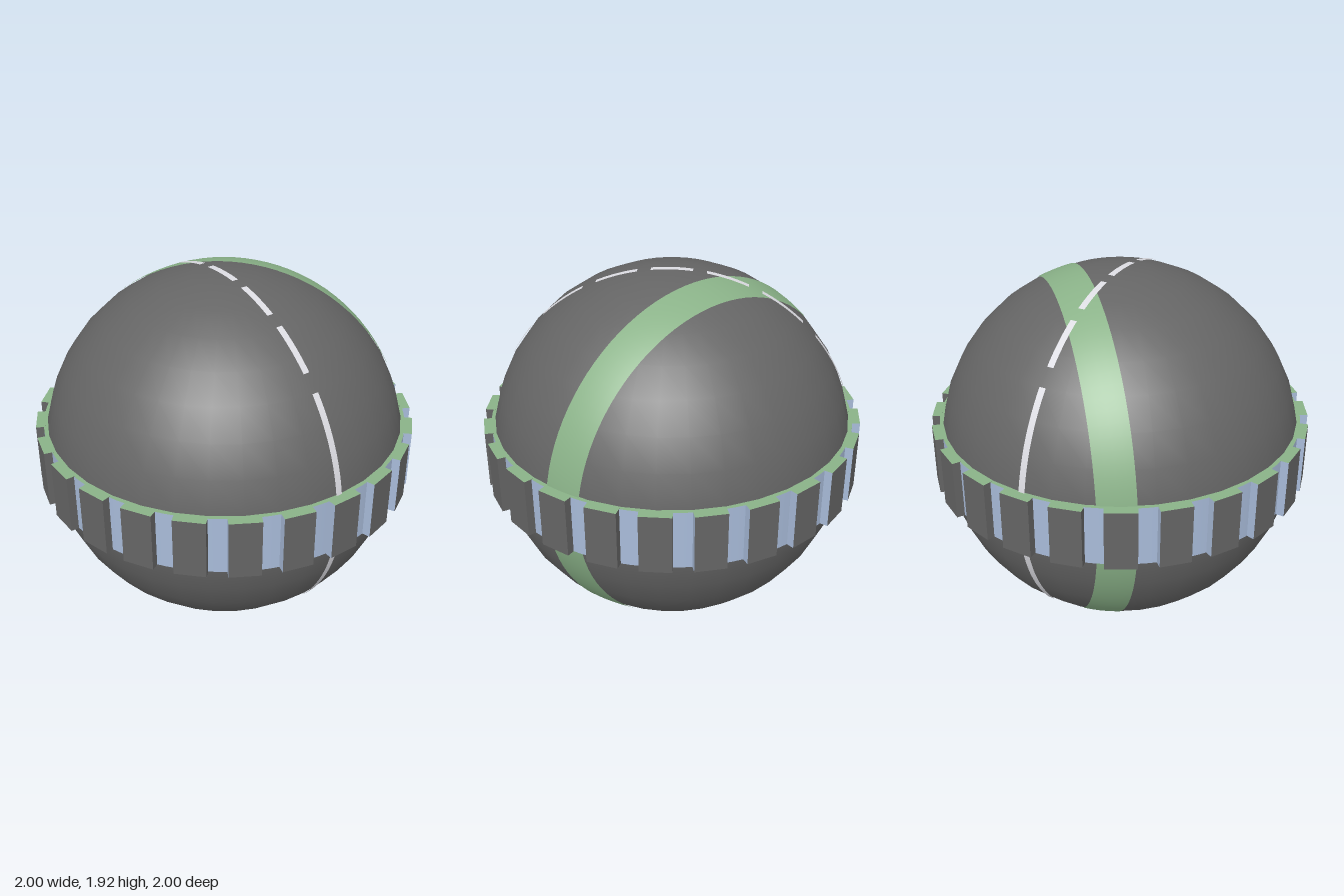
import * as THREE from 'three';

const CENTER_Y = 0.962;
const RADIUS = 0.956;
const RING_HEIGHT = 0.316;
const TEETH = 24;

function material(name, color) {
  const m = new THREE.MeshStandardMaterial({ color });
  m.name = name;
  return m;
}

export function createModel() {
  const gray = material('dark gray', 0x656565);
  const green = material('soft green', 0x8ab288);
  const blue = material('pale blue', 0xa8bbd9);
  const white = material('off white', 0xdcdce2);

  const model = new THREE.Group();
  model.name = 'beltedSphere';
  const add = (parent, name, geometry, mat) => {
    const mesh = new THREE.Mesh(geometry, mat);
    mesh.name = name;
    parent.add(mesh);
    return mesh;
  };

  const ball = new THREE.Group();
  ball.name = 'ball';
  ball.position.y = CENTER_Y;
  model.add(ball);

  // Main sphere
  add(ball, 'sphere', new THREE.SphereGeometry(RADIUS, 36, 18), gray);

  // Green stripe: a zone of the sphere cut by two upright diagonal planes
  const stripeR = RADIUS + 0.0025;
  const start = Math.acos(-0.17 / stripeR);
  const end = Math.acos(-0.354 / stripeR);
  const zone = new THREE.SphereGeometry(stripeR, 96, 4, 0, Math.PI * 2, start, end - start);
  const stripe = add(ball, 'greenStripe', zone, green);
  stripe.quaternion.setFromUnitVectors(
    new THREE.Vector3(0, 1, 0), new THREE.Vector3(1, 0, 1).normalize());

  // Dashed line over the top and bottom, dashes evenly spaced along x
  const dashes = new THREE.Group();
  dashes.name = 'dashedLine';
  ball.add(dashes);
  const dashR = RADIUS + 0.005;
  const angleAt = (x) => Math.asin(THREE.MathUtils.clamp(x / dashR, -1, 1));
  for (let i = -3; i <= 3; i++) {
    const from = angleAt(i * 0.281 - 0.106);
    const to = angleAt(i * 0.281 + 0.106);
    for (const side of [0, 1]) {
      // Cylinder angle 0 becomes straight down after the turn about x
      const first = side ? from : Math.PI - to;
      const g = new THREE.CylinderGeometry(dashR, dashR, 0.034, 16, 1, true, first, to - from);
      g.rotateX(Math.PI / 2);
      g.translate(0, 0, 0.01);
      add(dashes, side ? 'lowerDash' : 'upperDash', g, white);
    }
  }

  // Toothed belt around the equator
  const belt = new THREE.Group();
  belt.name = 'toothedBelt';
  ball.add(belt);
  const floorR = 0.962;
  add(belt, 'beltFloor',
    new THREE.CylinderGeometry(floorR, floorR, RING_HEIGHT, 96, 1, true), blue);
  for (const s of [1, -1]) {
    const rim = new THREE.RingGeometry(0.93, floorR, 96);
    rim.rotateX(-s * Math.PI / 2);
    rim.translate(0, s * RING_HEIGHT / 2, 0);
    add(belt, s > 0 ? 'topRim' : 'bottomRim', rim, green);
  }

  // Teeth: one flank blue, the other gray, ends green
  const tooth = new THREE.BoxGeometry(0.16, RING_HEIGHT + 0.001, 0.05);
  tooth.translate(0, 0, 0.975);
  const faces = [gray, blue, green, green, gray, gray];
  for (let i = 0; i < TEETH; i++) {
    add(belt, 'tooth', tooth, faces).rotation.y = (i / TEETH) * Math.PI * 2;
  }

  return model;
}
